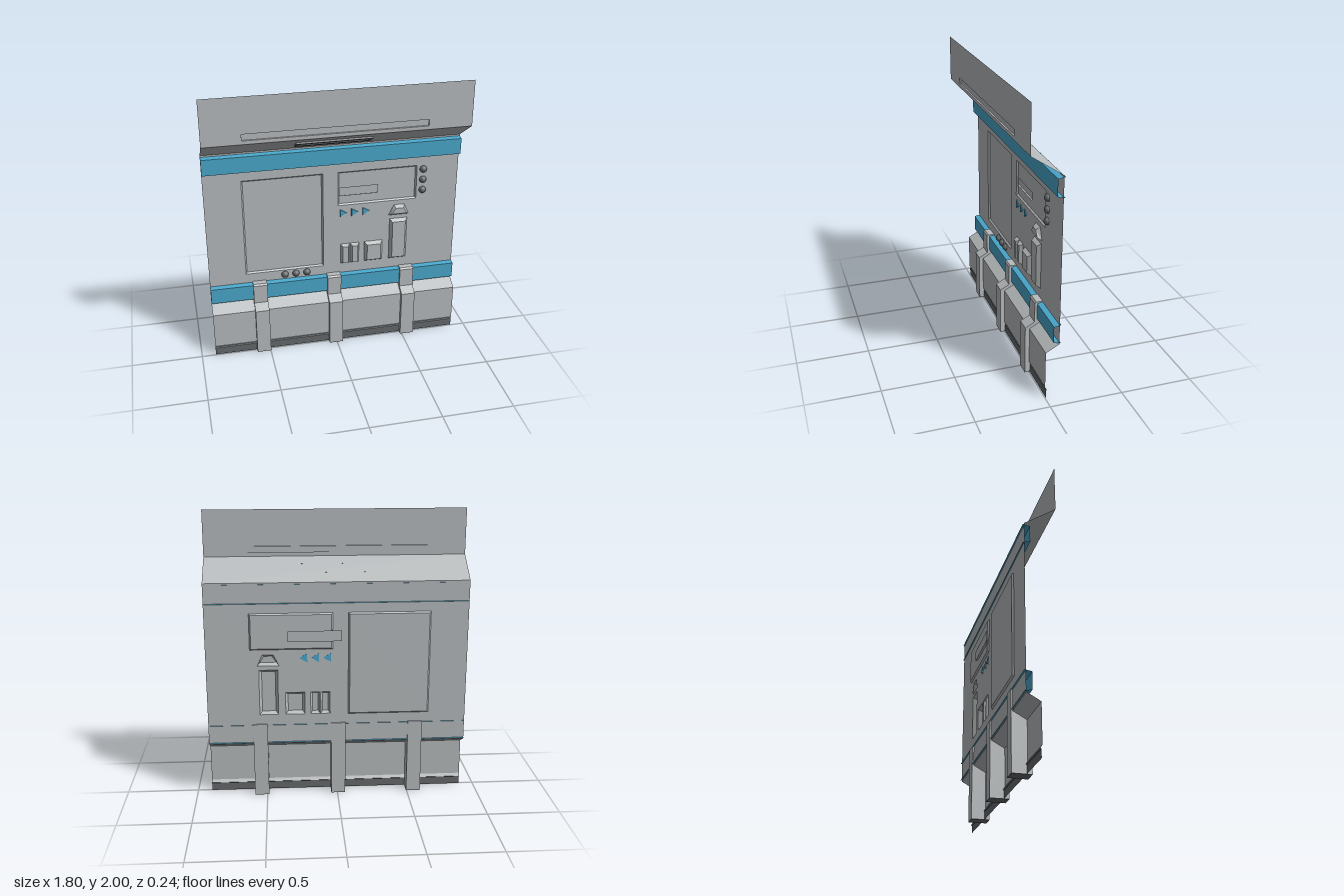
import * as THREE from 'three';

const make = (name, hex) => {
  const m = new THREE.MeshStandardMaterial({ color: hex, side: THREE.DoubleSide });
  m.name = name;
  return m;
};

const PANEL_Z = -0.09;
const HALF = 0.9;

// Flat-shaded geometry from a list of quads and polygons (fans)
function faces(polys) {
  const pos = [];
  for (const p of polys)
    for (let i = 1; i < p.length - 1; i++) pos.push(...p[0], ...p[i], ...p[i + 1]);
  const g = new THREE.BufferGeometry();
  g.setAttribute('position', new THREE.Float32BufferAttribute(pos, 3));
  g.computeVertexNormals();
  return g;
}

// Open sheet swept across the full width from a (z, y) profile listed top to bottom
function sheet(profile) {
  const quads = [];
  for (let i = 0; i < profile.length - 1; i++) {
    const [z0, y0] = profile[i], [z1, y1] = profile[i + 1];
    quads.push([[-HALF, y0, z0], [-HALF, y1, z1], [HALF, y1, z1], [HALF, y0, z0]]);
  }
  return faces(quads);
}

const rect = (x0, y0, x1, y1) => [[x0, y0], [x1, y0], [x1, y1], [x0, y1]];

// Shrinks a convex outline toward its middle by a fixed margin
function inset(pts, m) {
  const xs = pts.map(p => p[0]), ys = pts.map(p => p[1]);
  const x0 = Math.min(...xs), x1 = Math.max(...xs), y0 = Math.min(...ys), y1 = Math.max(...ys);
  const cx = (x0 + x1) / 2, cy = (y0 + y1) / 2;
  const sx = 1 - 2 * m / (x1 - x0), sy = 1 - 2 * m / (y1 - y0);
  return pts.map(([x, y]) => [cx + (x - cx) * sx, cy + (y - cy) * sy]);
}

// Walls between two outlines
function walls(a, za, b, zb) {
  return a.map((p, i) => {
    const j = (i + 1) % a.length;
    return [[...p, za], [...a[j], za], [...b[j], zb], [...b[i], zb]];
  });
}

// Raised or sunken shape: bevelled walls and a flat cap
function relief(outline, z0, z1, margin) {
  const inner = inset(outline, margin);
  return faces([...walls(outline, z0, inner, z1), inner.map(p => [...p, z1])]);
}

// Flat plate facing +z with openings
function plate(outline, holes, z) {
  const v = pts => pts.map(p => new THREE.Vector2(...p));
  const s = new THREE.Shape(v(outline));
  for (const h of holes) s.holes.push(new THREE.Path(v(h)));
  return new THREE.ShapeGeometry(s).translate(0, 0, z);
}

export function createModel() {
  const grey = make('lightGrey', 0xb8bcbe);
  const dark = make('darkGrey', 0x66696c);
  const blue = make('blue', 0x4aa8cc);

  const model = new THREE.Group();
  model.name = 'wallPanel';
  const add = (name, geo, mat, parent = model) => {
    const m = new THREE.Mesh(geo, mat);
    m.name = name;
    parent.add(m);
    return m;
  };

  // Upper board with a long shallow slot
  const slot = rect(-0.64, 1.705, 0.6, 1.75);
  add('upperBoard', plate(rect(-HALF, 1.68, HALF, 2), [slot], 0.12), grey);
  add('upperBoardSlot', relief(slot, 0.12, 0.11, 0.001), grey);

  // Sloping soffit and its dark vent
  add('soffit', sheet([[0.12, 1.68], [PANEL_Z, 1.54]]), grey);
  const vent = new THREE.Group();
  vent.name = 'soffitVent';
  vent.position.set(-0.02, 1.6145, 0.0215);
  vent.rotation.x = Math.atan2(0.21, 0.14);
  model.add(vent);
  const outer = rect(-0.26, -0.042, 0.26, 0.042), inner = inset(outer, 0.022);
  add('ventFrame', plate(outer, [inner], 0.012), dark, vent);
  add('ventRim', faces(walls(outer, 0, outer, 0.012)), dark, vent);
  add('ventRecess', relief(inner, 0.012, 0.003, 0.006), dark, vent);

  // Main wall with openings for every raised or sunken part
  const screen = rect(-0.64, 0.6, -0.075, 1.33);
  const display = rect(0.03, 1.075, 0.6, 1.33);
  const blocks = {
    gripLeft: rect(0.05, 0.605, 0.116, 0.765),
    gripRight: rect(0.12, 0.605, 0.186, 0.765),
    squareBlock: rect(0.225, 0.605, 0.36, 0.765),
    tallBlock: rect(0.41, 0.605, 0.54, 0.93),
    taperedBlock: [[0.4, 0.96], [0.55, 0.96], [0.515, 1.04], [0.44, 1.04]],
  };
  add('mainWall', plate(rect(-HALF, 0.39, HALF, 1.54),
    [screen, display, ...Object.values(blocks)], PANEL_Z), grey);
  add('screen', relief(screen, PANEL_Z, -0.102, 0.01), grey);
  for (const [name, outline] of Object.entries(blocks))
    add(name, relief(outline, PANEL_Z, -0.063, name.startsWith('grip') ? 0.014 : 0.018), grey);

  // Display with a deeper undercut slot
  const floor = inset(display, 0.01);
  const mouth = rect(0.043, 1.145, 0.32, 1.205);
  add('displayWalls', faces(walls(display, PANEL_Z, floor, -0.102)), grey);
  add('displayFloor', plate(floor, [mouth], -0.102), grey);
  const slotBack = rect(-0.03, 1.137, 0.34, 1.212);
  add('displaySlot', faces([...walls(mouth, -0.102, slotBack, -0.12),
    slotBack.map(p => [...p, -0.12])]), grey);
  add('displaySlotRim', plate(rect(0.032, 1.135, 0.328, 1.215), [mouth], -0.1), grey);

  // Round buttons
  const dome = new THREE.SphereGeometry(0.026, 16, 6, 0, Math.PI * 2, 0, Math.PI / 2)
    .rotateX(Math.PI / 2);
  for (let i = 0; i < 3; i++) {
    add('displayButton', dome, dark).position.set(0.645, 1.14 + i * 0.08, PANEL_Z);
    add('screenButton', dome, dark).position.set(-0.36 + i * 0.08, 0.565, PANEL_Z);
  }

  // Blue arrow markers, showing on both sides of the wall
  const tri = [[0, -0.032], [0.055, 0], [0, 0.032]];
  const back = tri.map(p => [...p, -0.004]).reverse();
  const arrow = faces([...walls(tri, -0.004, inset(tri, 0.005), 0.006),
    inset(tri, 0.005).map(p => [...p, 0.006]), back]);
  for (let i = 0; i < 3; i++)
    add('arrow', arrow, blue).position.set(0.043 + i * 0.082, 1.014, PANEL_Z);

  // Blue bands, open at the ends
  for (const [name, top] of [['upperBand', 1.53], ['lowerBand', 0.53]])
    add(name, sheet([[-0.1, top], [-0.052, top - 0.008], [-0.052, top - 0.122],
      [-0.1, top - 0.132]]), blue);

  // Base: sloped ledge, face, small step and dark kick plate
  add('base', sheet([[PANEL_Z, 0.39], [0, 0.34], [0, 0.08], [-0.012, 0.06]]), grey);
  add('kickPlate', sheet([[-0.012, 0.06], [-0.006, 0.055], [-0.006, 0]]), dark);

  // Three buttresses
  const profile = [[-0.1, 0.003], [0.03, 0.003], [0.03, 0.35], [-0.035, 0.385],
    [-0.035, 0.523], [-0.045, 0.535], [-0.1, 0.535]];
  const buttress = new THREE.ExtrudeGeometry(
    new THREE.Shape(profile.map(p => new THREE.Vector2(...p))),
    { depth: 0.1, bevelEnabled: false }).rotateY(-Math.PI / 2).translate(0.05, 0, 0);
  const foot = new THREE.BoxGeometry(0.1, 0.003, 0.13).translate(0, 0.0015, -0.035);
  for (const x of [-0.547, -0.006, 0.538]) {
    add('buttress', buttress, grey).position.x = x;
    add('buttressFoot', foot, dark).position.x = x;
  }

  return model;
}
